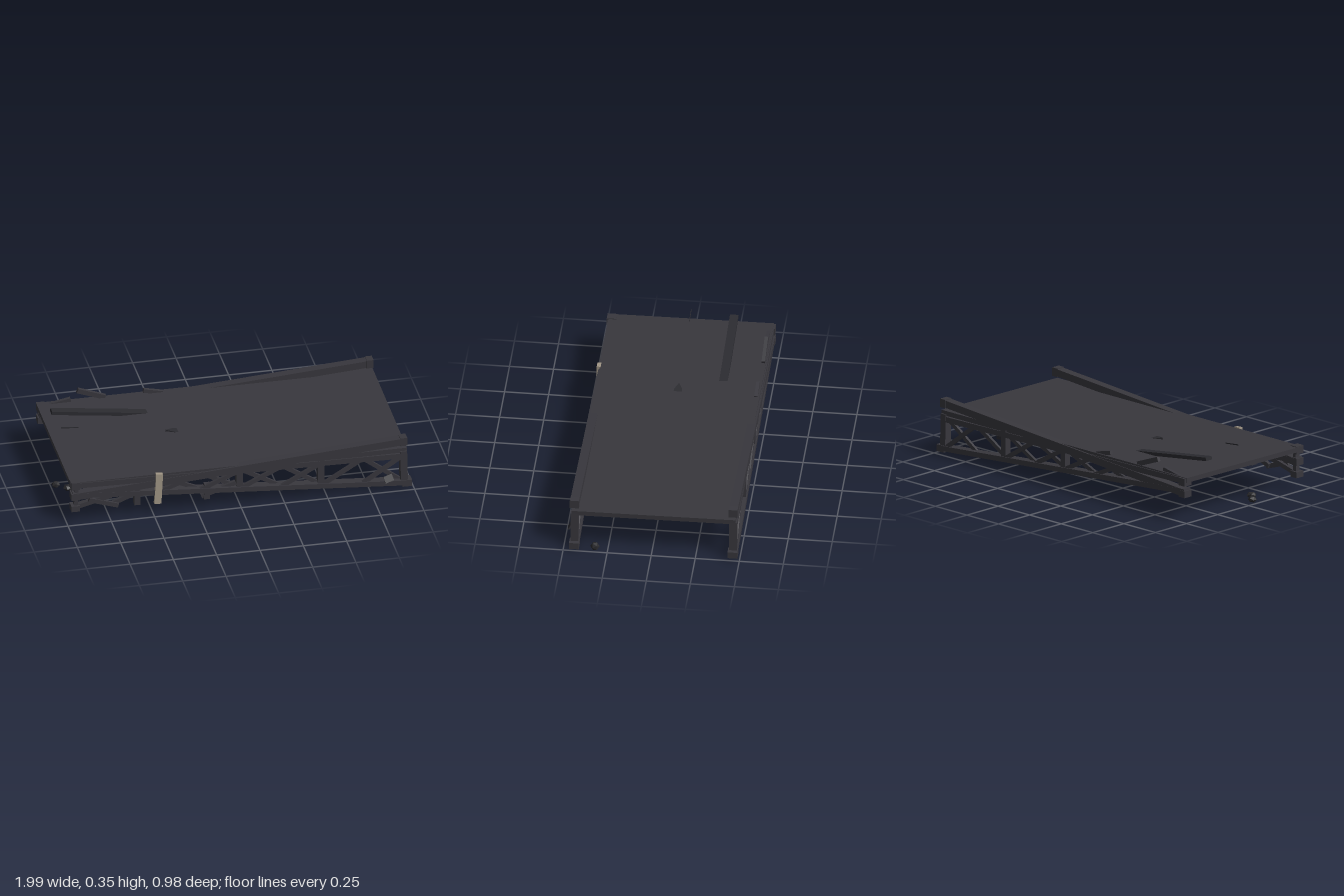
import * as THREE from 'three';

const mat = (name, color) => Object.assign(new THREE.MeshStandardMaterial({ color, flatShading: true }), { name });

export function createModel() {
  const root = new THREE.Group();
  root.name = 'collapsedBridge';
  const wood = mat('charredWood', 0x38373d);
  const dark = mat('darkWood', 0x2b2b30);
  const stone = mat('rubble', 0x28282b);
  const pale = mat('paleWood', 0xa09585);

  const add = (parent, name, geo, material, x, y, z) => {
    const m = new THREE.Mesh(geo, material);
    m.name = name;
    m.position.set(x, y, z);
    parent.add(m);
    return m;
  };

  // Timber running between two points in a plane of constant z
  const beam = (parent, name, x1, y1, x2, y2, z, h, d, material = wood) => {
    const dx = x2 - x1, dy = y2 - y1;
    const m = add(parent, name, new THREE.BoxGeometry(Math.hypot(dx, dy), h, d), material,
      (x1 + x2) / 2, (y1 + y2) / 2, z);
    m.rotation.z = Math.atan2(dy, dx);
    return m;
  };

  // Deck, tilted slightly to the front
  const deck = add(root, 'deck', new THREE.BoxGeometry(1.94, 0.028, 0.93), wood, -0.005, 0.243, -0.01);
  deck.rotation.x = 0.008;

  // Side trusses: rising rail, sagging lower chord, braces between
  const chordY = x => 0.22 - 0.0155 * x;
  const lowY = x => 0.103 - 0.075 * x;
  for (const [side, z, lift] of [['front', 0.44, 0], ['back', -0.46, 0.006]]) {
    const t = new THREE.Group();
    t.name = side + 'Truss';
    t.position.y = lift;
    root.add(t);
    beam(t, 'handRail', -0.96, 0.165, 0.96, 0.3, z, 0.042, 0.05);
    beam(t, 'upperChord', -0.97, chordY(-0.97), 0.965, chordY(0.965), z, 0.032, 0.042);
    beam(t, 'lowerChord', -0.965, lowY(-0.965), 0.975, lowY(0.975), z, 0.03, 0.052);
    beam(t, 'endPost', 0.95, 0.02, 0.945, 0.235, z, 0.04, 0.045);
    add(t, 'footBlock', new THREE.BoxGeometry(0.055, 0.04, 0.056), wood, 0.965, 0.03, z);
    add(t, 'railEndBlock', new THREE.BoxGeometry(0.04, 0.05, 0.052), wood, 0.945, 0.298, z);
    for (const x of [0, 0.47]) beam(t, 'post', x, lowY(x) - 0.01, x, 0.25, z, 0.036, 0.04);

    // Crossed braces in each bay, shrinking as the truss closes up
    for (let i = 0; i < 6; i++) {
      const a = -0.47 + i * 0.235, b = a + 0.235;
      beam(t, 'brace', a, lowY(a), b, chordY(b), z + 0.012, 0.024, 0.016);
      if (i !== 4) beam(t, 'brace', a, chordY(a), b, lowY(b), z - 0.012, 0.024, 0.016);
    }
  }

  // Broken timbers hanging from the low end
  const wreck = new THREE.Group();
  wreck.name = 'brokenTimbers';
  root.add(wreck);
  const zf = 0.44;
  for (const z of [0.44, -0.46]) {
    add(wreck, 'endStub', new THREE.BoxGeometry(0.05, 0.045, 0.055), wood, -0.948, 0.235, z);
    add(wreck, 'endStub', new THREE.BoxGeometry(0.05, 0.04, 0.055), wood, -0.948, 0.165, z);
  }
  add(wreck, 'endStub', new THREE.BoxGeometry(0.05, 0.035, 0.055), wood, -0.948, 0.09, zf);
  beam(wreck, 'endPost', -0.945, 0.08, -0.94, 0.25, zf, 0.022, 0.03);
  beam(wreck, 'hangingBrace', -0.96, 0.09, -0.74, 0.145, zf, 0.026, 0.03);
  beam(wreck, 'hangingBrace', -0.87, 0.135, -0.7, 0.08, zf + 0.012, 0.026, 0.018);
  beam(wreck, 'hangingBrace', -0.73, 0.09, -0.58, 0.15, zf, 0.026, 0.02);
  beam(wreck, 'hangingPost', -0.59, 0.07, -0.59, 0.21, zf, 0.036, 0.04);
  beam(wreck, 'hangingBrace', -0.22, 0.075, -0.02, 0.14, zf, 0.026, 0.02);
  beam(wreck, 'hangingPost', -0.19, 0.06, -0.185, 0.15, zf, 0.034, 0.04);
  beam(wreck, 'palePost', -0.475, 0.07, -0.465, 0.26, 0.46, 0.04, 0.022, pale);
  const splinter = beam(wreck, 'splinter', 0.83, 0.07, 0.88, 0.085, 0.475, 0.04, 0.008, dark);
  splinter.rotation.x = -0.45;

  // Snapped braces poking up along the back edge
  beam(wreck, 'snappedBrace', -0.92, 0.245, -0.78, 0.272, -0.455, 0.024, 0.02);
  beam(wreck, 'snappedBrace', -0.74, 0.322, -0.58, 0.262, -0.46, 0.028, 0.02);
  beam(wreck, 'snappedBrace', -0.36, 0.28, -0.25, 0.255, -0.455, 0.022, 0.02);

  // Loose planks with pointed ends that pierce the deck
  const plank = (name, x1, y1, x2, y2, z, w, pointed) => {
    const len = Math.hypot(x2 - x1, y2 - y1), s = new THREE.Shape();
    s.moveTo(0, -w / 2);
    s.lineTo(len - 0.1, -w / 2);
    s.lineTo(len, -w * 0.15);
    s.lineTo(len, w * 0.15);
    s.lineTo(len - 0.1, w / 2);
    s.lineTo(0, w / 2);
    if (pointed) s.lineTo(-0.05, 0);
    const g = new THREE.ExtrudeGeometry(s, { depth: 0.02, bevelEnabled: false });
    g.translate(0, 0, -0.01).rotateX(-Math.PI / 2);
    const m = add(root, name, g, dark, x1, y1, z);
    m.rotation.z = Math.atan2(y2 - y1, x2 - x1);
  };
  plank('longPlank', -0.935, 0.322, 0.74, 0.1, -0.255, 0.048, false);
  plank('middlePlank', -0.28, 0.25, 0.74, 0.1, -0.01, 0.046, true);
  beam(root, 'sliver', -0.93, 0.35, -0.83, 0.34, -0.012, 0.006, 0.003, dark);

  // Rubble on the ground
  const rocks = [
    [-0.975, 0.026, 0.055, 0.026, 0.02], [-0.915, 0.028, 0.108, 0.03, 0.018],
    [0.11, 0.025, -0.022, 0.031, 0.021], [0.972, 0.026, 0.322, 0.027, 0.025],
  ];
  rocks.forEach(([x, y, z, r, h], i) => {
    const m = add(root, 'rock', new THREE.IcosahedronGeometry(1, 0), stone, x, y, z);
    m.scale.set(r, h, r);
    m.rotation.y = i * 0.7;
  });
  add(root, 'shard', new THREE.ConeGeometry(0.02, 0.034, 5), stone, 0.75, 0.107, 0.23);
  return root;
}
